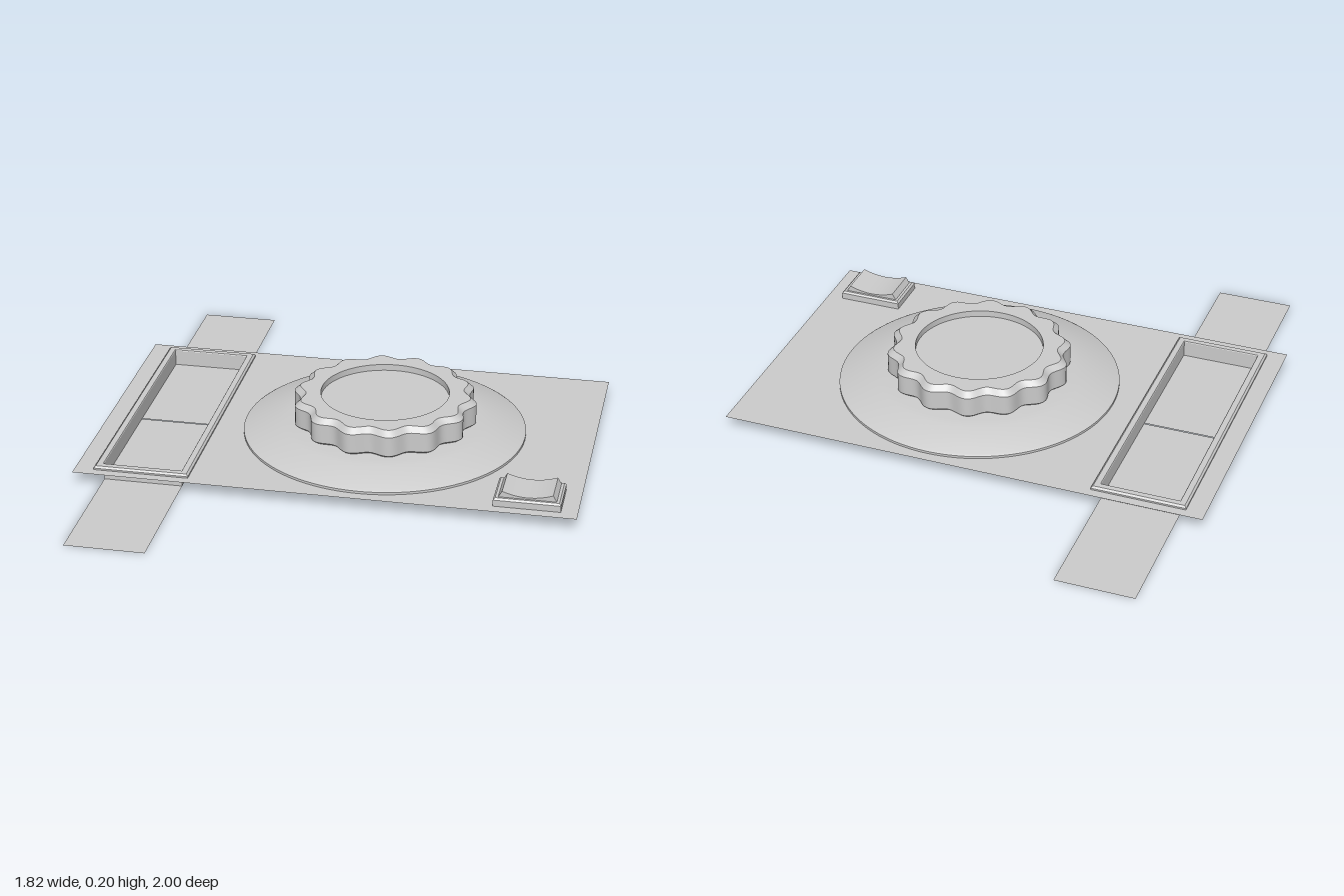
import * as THREE from 'three';
import { toCreasedNormals } from 'three/addons/utils/BufferGeometryUtils.js';

const material = new THREE.MeshStandardMaterial({ color: 0xcccccc, side: THREE.DoubleSide });
const PANEL_Y = 0.05;

function addMesh(parent, name, geometry, x = 0, y = 0, z = 0) {
  const mesh = new THREE.Mesh(geometry, material);
  mesh.name = name;
  mesh.position.set(x, y, z);
  parent.add(mesh);
  return mesh;
}

// Skin through rectangular loops given as [halfX, halfZ, y], optionally capped on top
function rectLoft(loops, cap = false) {
  const corners = [[1, 1], [1, -1], [-1, -1], [-1, 1]];
  const positions = [];
  const point = ([hx, hz, y], k) => [corners[k % 4][0] * hx, y, corners[k % 4][1] * hz];
  for (let i = 0; i < loops.length - 1; i++) {
    for (let k = 0; k < 4; k++) {
      const a = point(loops[i], k), b = point(loops[i], k + 1);
      const c = point(loops[i + 1], k + 1), d = point(loops[i + 1], k);
      positions.push(...a, ...b, ...c, ...a, ...c, ...d);
    }
  }
  if (cap) {
    const [a, b, c, d] = [0, 1, 2, 3].map((k) => point(loops[loops.length - 1], k));
    positions.push(...a, ...b, ...c, ...a, ...c, ...d);
  }
  const geometry = new THREE.BufferGeometry();
  geometry.setAttribute('position', new THREE.Float32BufferAttribute(positions, 3));
  geometry.computeVertexNormals();
  return geometry;
}

function lathe(profile, segments) {
  return new THREE.LatheGeometry(profile.map(([r, y]) => new THREE.Vector2(r, y)), segments);
}

function createPanel() {
  // Thin sheet with a rectangular opening for the slot
  const shape = new THREE.Shape([
    new THREE.Vector2(-0.91, -0.565), new THREE.Vector2(0.91, -0.565),
    new THREE.Vector2(0.91, 0.565), new THREE.Vector2(-0.91, 0.565),
  ]);
  shape.holes.push(new THREE.Path([
    new THREE.Vector2(-0.81, -0.5), new THREE.Vector2(-0.81, 0.5),
    new THREE.Vector2(-0.52, 0.5), new THREE.Vector2(-0.52, -0.5),
  ]));
  return new THREE.ShapeGeometry(shape).rotateX(-Math.PI / 2);
}

function createSlot() {
  const slot = new THREE.Group();
  slot.name = 'slot';
  slot.position.x = -0.665;
  // Chamfered rim running over into the inner walls
  addMesh(slot, 'slotRim', rectLoft([
    [0.175, 0.53, 0.05], [0.175, 0.53, 0.056], [0.168, 0.523, 0.063],
    [0.147, 0.502, 0.063], [0.145, 0.5, 0.06],
  ]));
  addMesh(slot, 'slotWalls', rectLoft([[0.145, 0.5, 0.06], [0.145, 0.5, 0]]));
  // Two strips meet at the middle of the slot and run out at both ends
  for (const side of [-1, 1]) {
    const strip = new THREE.PlaneGeometry(0.29, 0.998).rotateX(-Math.PI / 2);
    addMesh(slot, side > 0 ? 'frontStrip' : 'backStrip', strip, 0, 0, side * 0.501);
  }
  return slot;
}

function createDial() {
  const dial = new THREE.Group();
  dial.name = 'dial';
  dial.position.x = 0.13;
  addMesh(dial, 'dialBase', toCreasedNormals(lathe([
    [0.525, 0.05], [0.525, 0.059], [0.517, 0.064], [0.39, 0.094], [0.36, 0.1], [0, 0.1],
  ], 96), 0.5));

  // Grip with fourteen soft lobes around its outer wall
  const knob = lathe([
    [0.318, 0.1], [0.328, 0.108], [0.328, 0.182], [0.306, 0.202],
    [0.238, 0.202], [0.238, 0.178], [0, 0.178],
  ], 168);
  const p = knob.attributes.position;
  for (let i = 0; i < p.count; i++) {
    const r = Math.hypot(p.getX(i), p.getZ(i));
    if (r < 0.3) continue;
    const angle = Math.atan2(p.getZ(i), p.getX(i));
    const scale = (r + 0.014 * Math.cos(14 * angle)) / r;
    p.setX(i, p.getX(i) * scale);
    p.setZ(i, p.getZ(i) * scale);
  }
  addMesh(dial, 'dialKnob', toCreasedNormals(knob, 0.5));
  return dial;
}

function createSwitch() {
  const group = new THREE.Group();
  group.name = 'switch';
  group.position.set(0.73, 0, 0.44);
  addMesh(group, 'switchBase', rectLoft([
    [0.12, 0.085, 0.05], [0.12, 0.085, 0.074], [0.113, 0.078, 0.081],
  ], true));

  // Rocker with raised ends and a hollow between them
  const profile = new THREE.Shape();
  profile.moveTo(-0.105, 0.078);
  profile.lineTo(0.105, 0.078);
  profile.lineTo(0.09, 0.104);
  profile.quadraticCurveTo(0, 0.07, -0.09, 0.104);
  profile.closePath();
  const rocker = new THREE.ExtrudeGeometry(profile, {
    depth: 0.14, bevelEnabled: false, curveSegments: 16,
  }).translate(0, 0, -0.07);
  addMesh(group, 'switchRocker', toCreasedNormals(rocker, 0.5));
  return group;
}

export function createModel() {
  const model = new THREE.Group();
  model.name = 'controlPanel';
  addMesh(model, 'panel', createPanel(), 0, PANEL_Y, 0);
  model.add(createSlot(), createDial(), createSwitch());
  return model;
}
